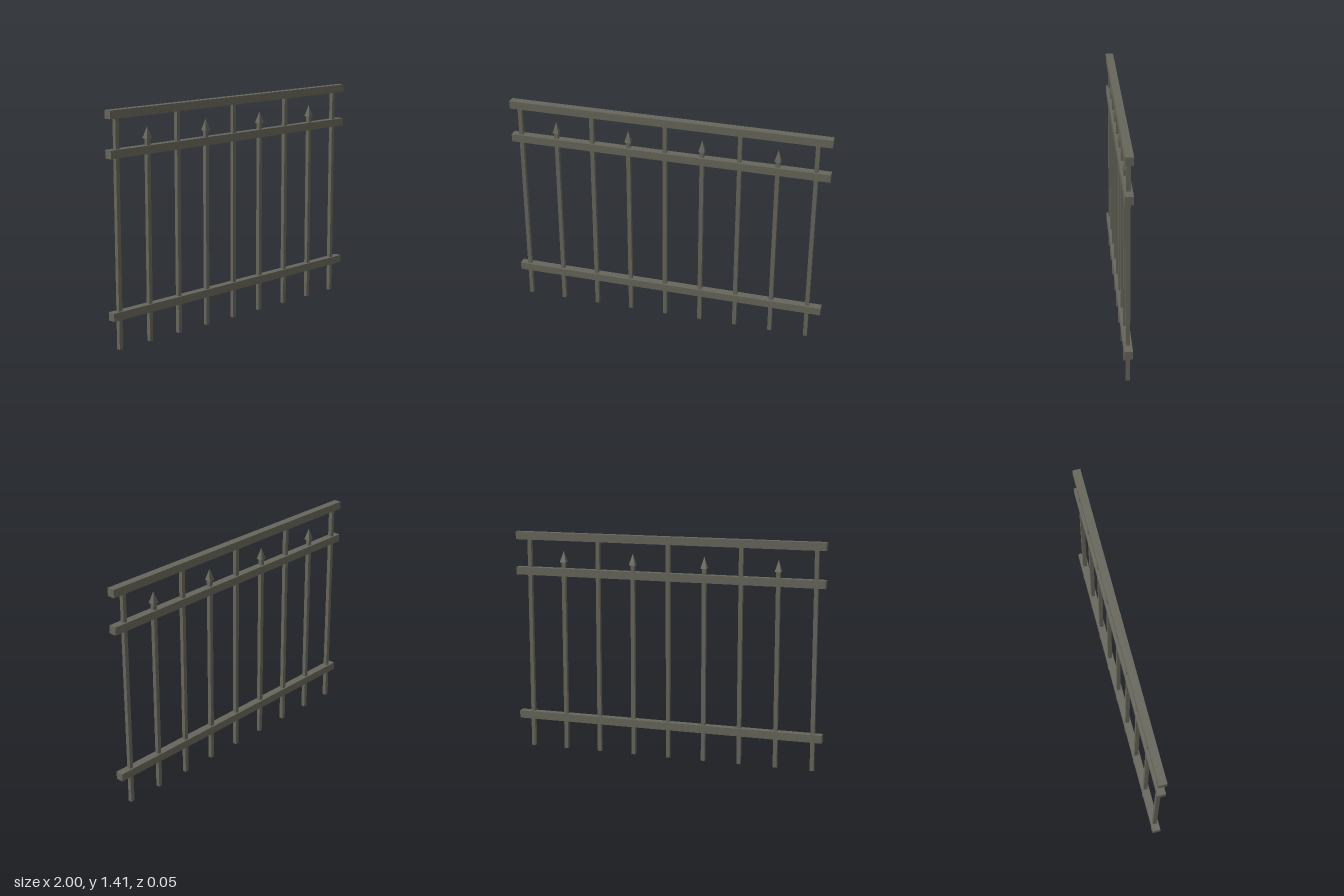
import * as THREE from 'three';

export function createModel() {
  const fence = new THREE.Group();
  fence.name = 'fence';
  const metal = new THREE.MeshStandardMaterial({ color: 0x66665b });
  metal.name = 'grey metal';
  metal.flatShading = true;

  const add = (name, geometry, x, y) => {
    const mesh = new THREE.Mesh(geometry, metal);
    mesh.name = name;
    mesh.position.set(x, y, 0);
    fence.add(mesh);
  };

  // Three horizontal rails
  const rail = new THREE.BoxGeometry(2, 0.049, 0.049);
  add('bottomRail', rail, 0, 0.207);
  add('middleRail', rail, 0, 1.156);
  add('topRail', rail, 0, 1.382);

  // Square pickets: tall ones meet the top rail, short ones carry spear tips
  const tallHeight = 1.37, shortHeight = 1.22, tipHeight = 0.073;
  const tall = new THREE.BoxGeometry(0.025, tallHeight, 0.025);
  const short = new THREE.BoxGeometry(0.025, shortHeight, 0.025);
  const tip = new THREE.ConeGeometry(0.02 * Math.SQRT2, tipHeight, 4).rotateY(Math.PI / 4);
  for (let i = 0; i < 9; i++) {
    const x = -0.941 + i * 0.2317;
    if (i % 2 === 0) {
      add('tallPicket', tall, x, tallHeight / 2);
    } else {
      add('shortPicket', short, x, shortHeight / 2);
      add('spearTip', tip, x, shortHeight + tipHeight / 2);
    }
  }
  return fence;
}
